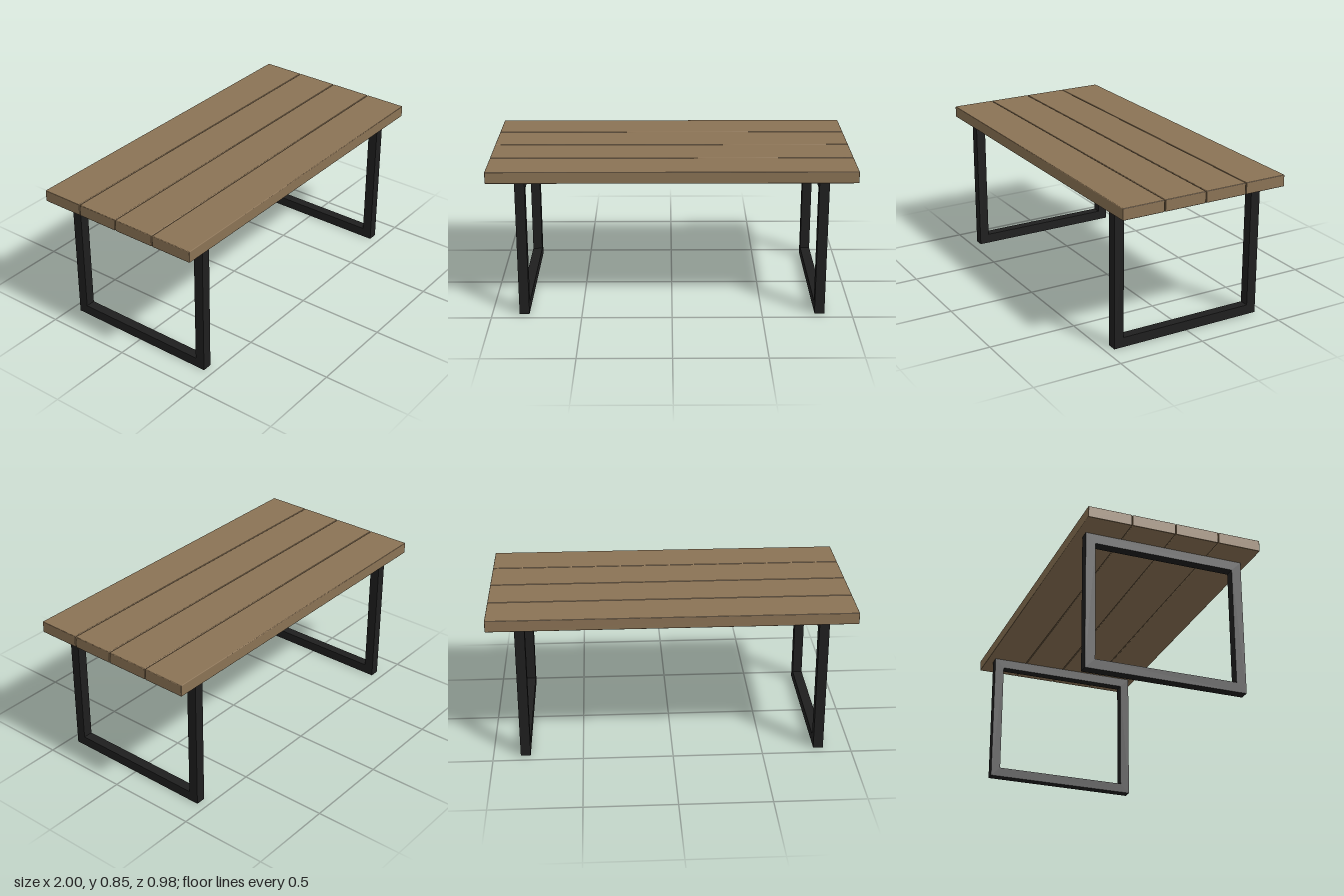
import * as THREE from 'three';
import { RoundedBoxGeometry } from 'three/addons/geometries/RoundedBoxGeometry.js';

const LEG_HEIGHT = 0.78, FRAME_DEPTH = 0.898, BAR = 0.055;
const PLANK = { length: 2, thickness: 0.065, width: 0.243, pitch: 0.2465, count: 4 };

// Closed rectangle as corner points, centred on x = 0
function rectangle(halfWidth, bottom, top) {
  return [[-halfWidth, bottom], [halfWidth, bottom], [halfWidth, top], [-halfWidth, top]]
    .map(([x, y]) => new THREE.Vector2(x, y));
}

// Rectangular loop of square tube, lying in the yz plane
function frameGeometry() {
  const shape = new THREE.Shape(rectangle(FRAME_DEPTH / 2, 0, LEG_HEIGHT));
  shape.holes.push(new THREE.Path(rectangle(FRAME_DEPTH / 2 - BAR, BAR, LEG_HEIGHT - BAR)));
  return new THREE.ExtrudeGeometry(shape, { depth: BAR, bevelEnabled: false })
    .translate(0, 0, -BAR / 2)
    .rotateY(Math.PI / 2);
}

export function createModel() {
  const wood = new THREE.MeshStandardMaterial({ color: 0x8b7355 });
  wood.name = 'wood';
  const blackMetal = new THREE.MeshStandardMaterial({ color: 0x1f1f1f });
  blackMetal.name = 'blackMetal';

  const table = new THREE.Group();
  table.name = 'table';

  // Table top: four planks with narrow gaps and softened edges
  const tableTop = new THREE.Group();
  tableTop.name = 'tableTop';
  const plankGeometry = new RoundedBoxGeometry(PLANK.length, PLANK.thickness, PLANK.width, 2, 0.004);
  for (let i = 0; i < PLANK.count; i++) {
    const plank = new THREE.Mesh(plankGeometry, wood);
    plank.name = `plank${i + 1}`;
    plank.position.set(0, LEG_HEIGHT + PLANK.thickness / 2, (i - (PLANK.count - 1) / 2) * PLANK.pitch);
    tableTop.add(plank);
  }
  table.add(tableTop);

  // Leg frames, one near each end
  const legGeometry = frameGeometry();
  for (const [name, side] of [['leftLegFrame', 1], ['rightLegFrame', -1]]) {
    const leg = new THREE.Mesh(legGeometry, blackMetal);
    leg.name = name;
    leg.position.x = side * 0.821;
    table.add(leg);
  }
  return table;
}
